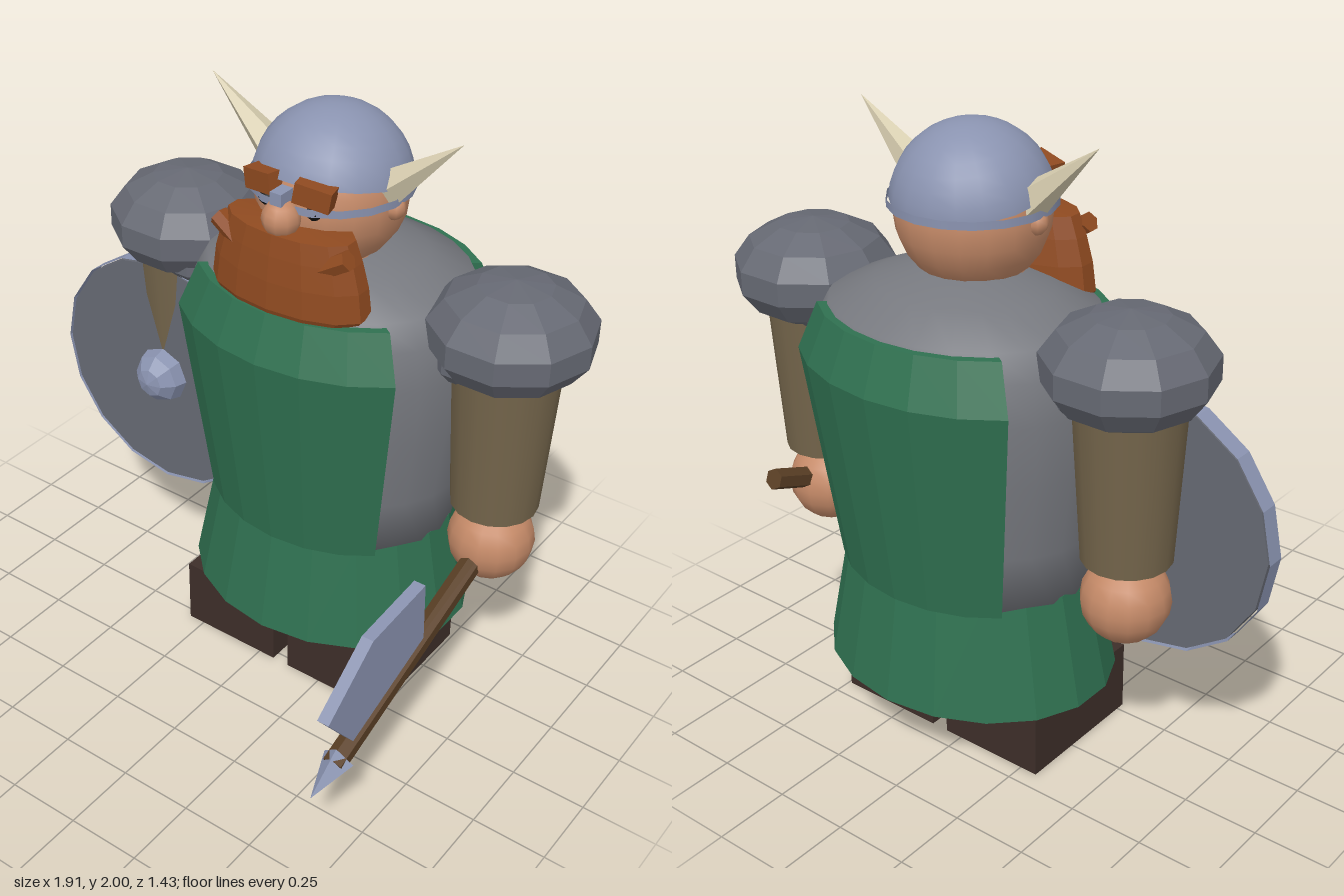
import * as THREE from 'three';

const CX = 0.09, CZ = -0.27; // body axis
const COLORS = {
  skin: 0xc58a68, steel: 0x8a93b0, iron: 0x666973, mail: 0x77797f, cloth: 0x2f7050,
  hair: 0x8f4a20, leather: 0x74654b, boot: 0x3d2e29, horn: 0xd8ceb0, wood: 0x5a3f25, eye: 0x111111,
};

function mat(color, flat = false, double = false) {
  return new THREE.MeshStandardMaterial({
    color: COLORS[color], flatShading: flat, side: double ? THREE.DoubleSide : THREE.FrontSide,
  });
}

function add(parent, name, geometry, material, x = 0, y = 0, z = 0) {
  const mesh = new THREE.Mesh(geometry, material);
  mesh.name = name;
  mesh.position.set(x, y, z);
  parent.add(mesh);
  return mesh;
}

const vectors = (pairs) => pairs.map(([x, y]) => new THREE.Vector2(x, y));

// Cone or rod running from point a to point b
function rod(parent, name, a, b, ra, rb, sides, material) {
  const from = new THREE.Vector3(...a), to = new THREE.Vector3(...b);
  const dir = to.clone().sub(from);
  const mesh = add(parent, name, new THREE.CylinderGeometry(rb, ra, dir.length(), sides), material);
  mesh.position.copy(from).add(to).multiplyScalar(0.5);
  mesh.quaternion.setFromUnitVectors(new THREE.Vector3(0, 1, 0), dir.normalize());
  return mesh;
}

function buildBody(g) {
  // Mail torso
  const torso = vectors([[0, 0.58], [0.42, 0.58], [0.46, 0.8], [0.495, 1.05], [0.505, 1.25],
    [0.485, 1.38], [0.44, 1.46], [0.29, 1.525], [0.15, 1.57], [0, 1.58]]);
  add(g, 'torso', new THREE.LatheGeometry(torso, 24), mat('mail'), CX, 0, CZ).scale.z = 0.82;

  // Flared skirt
  add(g, 'skirt', new THREE.CylinderGeometry(0.425, 0.5, 0.37, 18), mat('cloth', true), CX, 0.43, CZ)
    .scale.z = 0.82;

  // Curved tabard panels, front and back
  const outline = vectors([[0.44, 0.59], [0.55, 1.3], [0.48, 1.45], [0.425, 1.45], [0.49, 1.3], [0.39, 0.59]]);
  const half = THREE.MathUtils.degToRad(48);
  for (const [name, turn] of [['frontTabard', 0], ['backTabard', Math.PI]]) {
    const panel = new THREE.Group();
    panel.name = name;
    panel.position.set(CX, 0, CZ);
    panel.scale.z = 0.81;
    const closed = [...outline, outline[0]];
    add(panel, 'panel', new THREE.LatheGeometry(closed, 6, turn - half, half * 2), mat('cloth', true, true));
    for (const s of [-1, 1]) {
      add(panel, 'panelEdge', new THREE.ShapeGeometry(new THREE.Shape(outline)), mat('cloth', true, true))
        .rotation.y = turn + s * half - Math.PI / 2;
    }
    g.add(panel);
  }

  for (const s of [-1, 1]) {
    const side = s > 0 ? 'left' : 'right';
    const x = CX + s * 0.61;
    add(g, side + 'Boot', new THREE.BoxGeometry(0.37, 0.24, 0.47), mat('boot', true), CX + s * 0.215, 0.12, -0.205);
    // Arm: shoulder guard, padding below it, sleeve and fist
    add(g, side + 'ShoulderGuard', new THREE.SphereGeometry(0.265, 10, 7), mat('iron', true), x, 1.42, -0.28)
      .scale.set(1, 0.65, 1);
    add(g, side + 'ShoulderPadding', new THREE.SphereGeometry(0.18, 10, 7), mat('iron', true), CX + s * 0.53, 1.33, CZ)
      .scale.set(0.9, 0.55, 1);
    add(g, side + 'Sleeve', new THREE.CylinderGeometry(0.175, 0.14, 0.6, 16), mat('leather'), x, 1.1, CZ);
    add(g, side + 'Hand', new THREE.SphereGeometry(0.14, 14, 10), mat('skin'), x, 0.66, CZ);
  }
}

function buildHead() {
  const head = new THREE.Group();
  head.name = 'head';
  head.position.set(CX, 1.755, -0.22);
  add(head, 'skull', new THREE.SphereGeometry(0.238, 18, 12), mat('skin'), 0, -0.02, 0);
  add(head, 'neck', new THREE.CylinderGeometry(0.15, 0.17, 0.14, 14), mat('skin'), 0, -0.2, 0);

  // Helmet bowl tilted back, with a thin band and nose guard
  const bowl = new THREE.SphereGeometry(0.248, 18, 8, 0, Math.PI * 2, 0, THREE.MathUtils.degToRad(80));
  add(head, 'helmet', bowl, mat('steel', false, true)).rotation.x = -0.16;
  const band = new THREE.CylinderGeometry(0.256, 0.256, 0.025, 18, 1, true);
  add(head, 'headBand', band, mat('steel', false, true), 0, 0.012, 0);
  add(head, 'noseGuard', new THREE.BoxGeometry(0.04, 0.04, 0.06), mat('steel', true), 0, 0.05, 0.26);

  add(head, 'nose', new THREE.SphereGeometry(0.06, 10, 8), mat('skin'), 0, -0.02, 0.26);
  for (const s of [-1, 1]) {
    rod(head, 'horn', [s * 0.2, 0.035, 0.01], [s * 0.445, 0.24, 0.01], 0.06, 0, 5, mat('horn', true));
    add(head, 'ear', new THREE.SphereGeometry(0.038, 8, 6), mat('skin'), s * 0.225, -0.02, 0.01);
    add(head, 'eye', new THREE.SphereGeometry(0.025, 8, 6), mat('eye'), s * 0.085, 0.005, 0.215);
    const brow = add(head, 'eyebrow', new THREE.BoxGeometry(0.115, 0.065, 0.06), mat('hair', true), s * 0.09, 0.065, 0.22);
    brow.rotation.set(0, s * 0.25, -s * 0.16);
    rod(head, 'moustacheTip', [s * 0.13, -0.15, 0.265], [s * 0.235, -0.085, 0.255], 0.032, 0.032, 6, mat('hair', true));
  }

  // Broad beard, wider towards the chest
  const beard = vectors([[0, -0.36], [0.23, -0.35], [0.28, -0.29], [0.268, -0.2], [0.245, -0.12], [0.22, -0.055], [0, -0.045]]);
  add(head, 'beard', new THREE.LatheGeometry(beard, 14), mat('hair', true), 0, 0, 0.21).scale.z = 0.45;
  return head;
}

function buildShield() {
  const shield = new THREE.Group();
  shield.name = 'shield';
  shield.position.set(-0.52, 0.88, -0.148);
  const disc = new THREE.CylinderGeometry(0.42, 0.42, 0.055, 16).rotateX(Math.PI / 2).rotateZ(Math.PI / 16 * 2);
  add(shield, 'shieldDisc', disc, mat('iron', true));
  const rim = new THREE.CylinderGeometry(0.428, 0.428, 0.062, 16, 1, true).rotateX(Math.PI / 2);
  add(shield, 'shieldRim', rim, mat('steel', true, true));
  add(shield, 'shieldBoss', new THREE.SphereGeometry(0.1, 8, 6).rotateX(Math.PI / 2), mat('steel', true), 0, 0, 0.02);
  return shield;
}

function buildAxe() {
  const axe = new THREE.Group();
  axe.name = 'axe';
  axe.position.x = CX + 0.61;
  rod(axe, 'axeHandle', [0, 0.76, -0.53], [0, 0.345, 0.6], 0.036, 0.036, 6, mat('wood', true));
  rod(axe, 'axeSpike', [0, 0.352, 0.57], [0, 0.305, 0.715], 0.052, 0, 4, mat('steel', true));
  // Blade drawn in the z-y plane, then turned to face sideways
  const blade = new THREE.Shape(vectors([[-0.16, 0.75], [-0.44, 0.73], [-0.66, 0.565], [-0.52, 0.39], [-0.15, 0.52]]));
  const geometry = new THREE.ExtrudeGeometry(blade, { depth: 0.04, bevelEnabled: false });
  geometry.translate(0, 0, -0.02).rotateY(Math.PI / 2);
  add(axe, 'axeBlade', geometry, mat('steel', true));
  return axe;
}

export function createModel() {
  const model = new THREE.Group();
  model.name = 'warrior';
  buildBody(model);
  model.add(buildHead(), buildShield(), buildAxe());
  return model;
}
